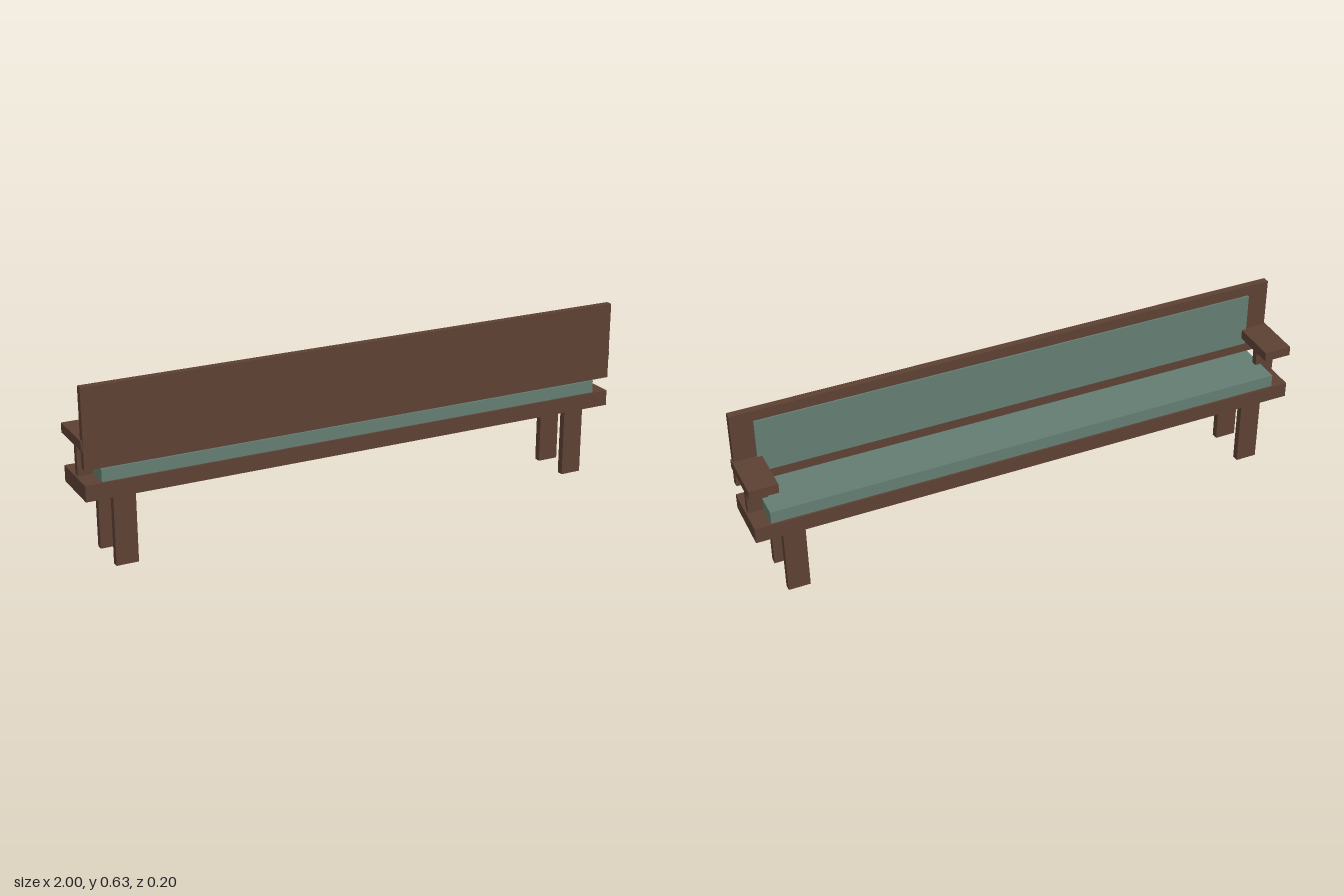
import * as THREE from 'three';

export function createModel() {
  const group = new THREE.Group();
  const wood = new THREE.MeshStandardMaterial({ color: 0x5c4033 });
  const fabric = new THREE.MeshStandardMaterial({ color: 0x637c71 });

  // Box given by its extents on each axis
  function box(name, material, [x0, x1], [y0, y1], [z0, z1]) {
    const mesh = new THREE.Mesh(new THREE.BoxGeometry(x1 - x0, y1 - y0, z1 - z0), material);
    mesh.position.set((x0 + x1) / 2, (y0 + y1) / 2, (z0 + z1) / 2);
    mesh.name = name;
    group.add(mesh);
  }

  // Seat and backrest, each with its upholstery
  box('seatFrame', wood, [-0.995, 0.995], [0.246, 0.302], [-0.101, 0.102]);
  box('seatCushion', fabric, [-0.937, 0.937], [0.302, 0.347], [-0.094, 0.095]);
  box('backrest', wood, [-0.995, 0.995], [0.353, 0.63], [0.077, 0.102]);
  box('backPad', fabric, [-0.917, 0.917], [0.391, 0.592], [0.071, 0.078]);

  // Mirrored ends: armrest, its post and a pair of legs
  for (const [side, s] of [['left', 1], ['right', -1]]) {
    const span = (a, b) => (s > 0 ? [a, b] : [-b, -a]);
    box(side + 'Armrest', wood, span(0.9, 1), [0.418, 0.452], [-0.095, 0.097]);
    box(side + 'ArmPost', wood, span(0.917, 0.988), [0.302, 0.418], [-0.011, 0.012]);
    box(side + 'FrontLeg', wood, span(0.823, 0.9), [0, 0.246], [0.064, 0.089]);
    box(side + 'BackLeg', wood, span(0.823, 0.9), [0, 0.246], [-0.087, -0.062]);
  }
  return group;
}
